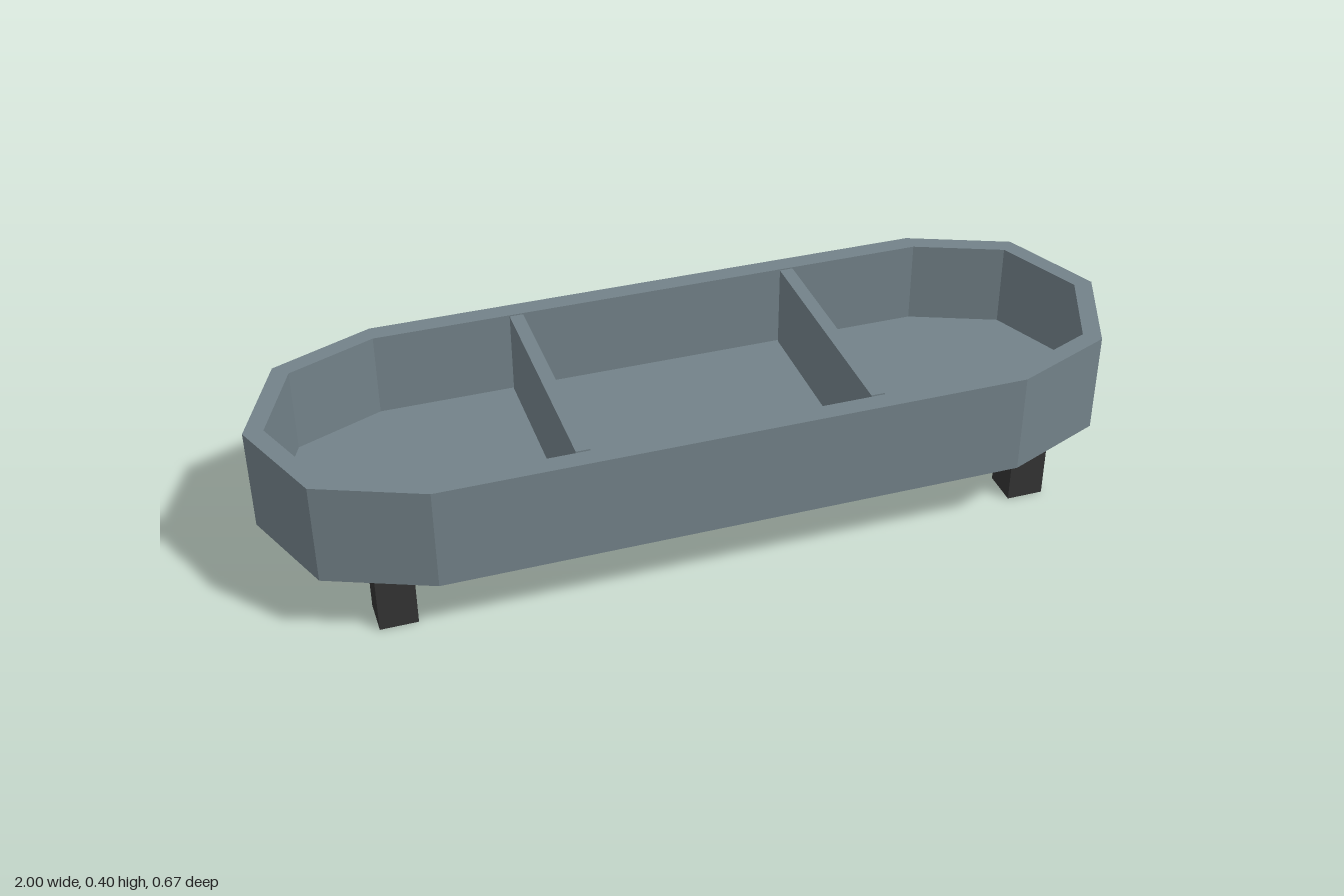
import * as THREE from 'three';

// Elongated tray outline: straight long sides, each end half of an octagon
function outline(radius, PathType) {
  const points = [];
  for (const side of [1, -1]) {
    for (let i = 0; i < 5; i++) {
      const a = -Math.PI / 2 + (i * Math.PI) / 4;
      points.push(new THREE.Vector2(side * (0.667 + radius * Math.cos(a)), side * radius * Math.sin(a)));
    }
  }
  return new PathType(points);
}

// Extrude an outline upwards from a given height
function prism(shape, bottom, height) {
  const geometry = new THREE.ExtrudeGeometry(shape, { depth: height, bevelEnabled: false });
  geometry.rotateX(-Math.PI / 2);
  geometry.translate(0, bottom, 0);
  return geometry;
}

export function createModel() {
  const model = new THREE.Group();
  model.name = 'dividedTray';

  const trayGrey = new THREE.MeshStandardMaterial({ color: 0x738289 });
  trayGrey.name = 'blue grey';
  const legDark = new THREE.MeshStandardMaterial({ color: 0x333333 });
  legDark.name = 'charcoal';

  const add = (name, geometry, material, x = 0, y = 0, z = 0) => {
    const mesh = new THREE.Mesh(geometry, material);
    mesh.name = name;
    mesh.position.set(x, y, z);
    model.add(mesh);
  };

  // Rim wall and floor
  const wall = outline(0.333, THREE.Shape);
  wall.holes.push(outline(0.288, THREE.Path));
  add('wall', prism(wall, 0.16, 0.24), trayGrey);
  add('floor', prism(outline(0.288, THREE.Shape), 0.16, 0.04), trayGrey);

  // Two dividers making three compartments
  const divider = new THREE.BoxGeometry(0.032, 0.2, 0.566);
  for (const x of [-0.333, 0.333]) add('divider', divider, trayGrey, x, 0.3, 0);

  // Four square legs
  const leg = new THREE.BoxGeometry(0.086, 0.16, 0.086);
  for (const x of [-0.747, 0.747]) {
    for (const z of [-0.2, 0.2]) {
      add(`${z > 0 ? 'front' : 'back'}${x > 0 ? 'Left' : 'Right'}Leg`, leg, legDark, x, 0.08, z);
    }
  }

  return model;
}
